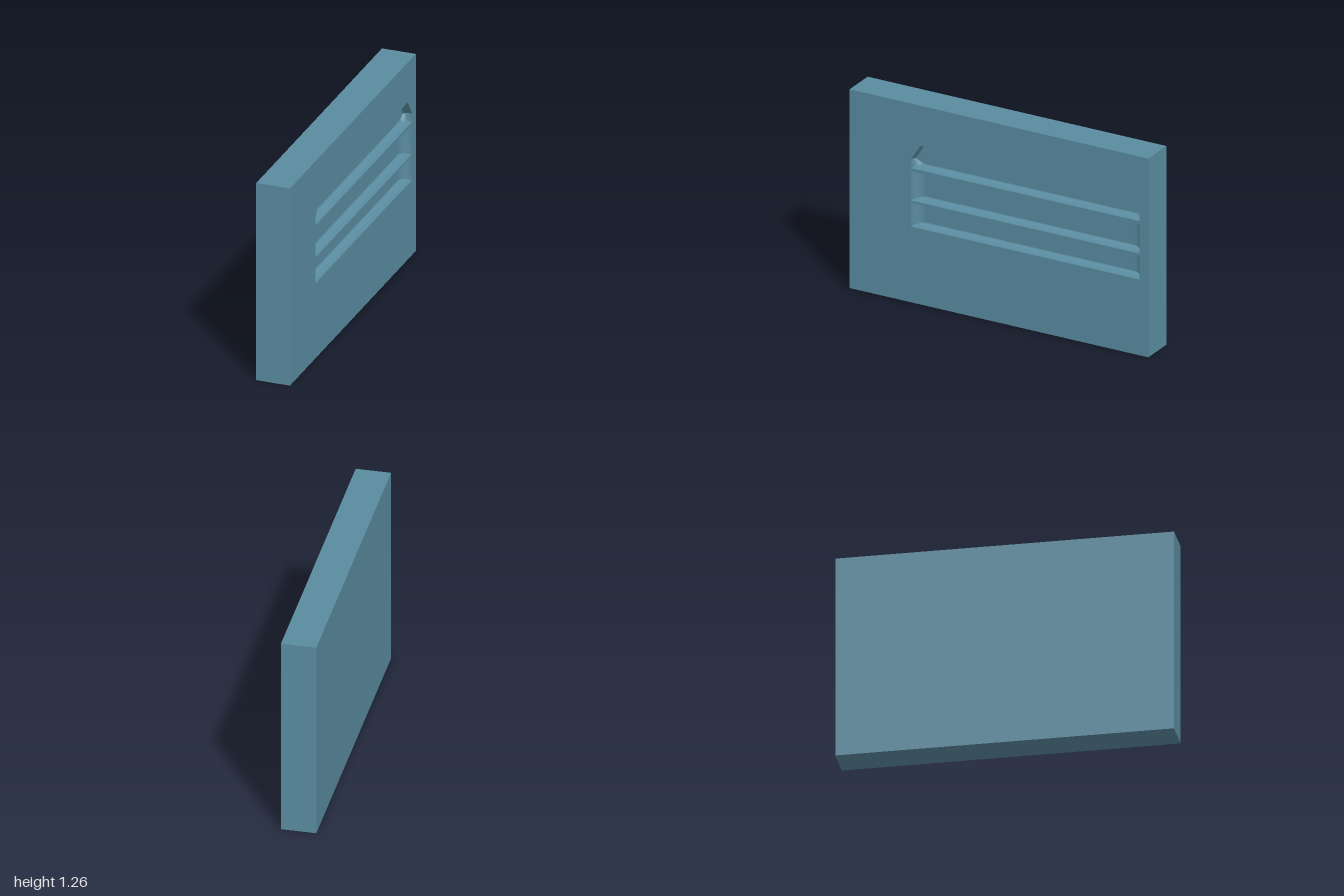
import * as THREE from 'three';
import { mergeGeometries } from 'three/addons/utils/BufferGeometryUtils.js';

const W = 2, H = 1.26, T = 0.21, DEPTH = 0.06;
const material = new THREE.MeshStandardMaterial({ color: 0x5a8ca0 });

// Outline corners, counter-clockwise: [across, up, floor inset across, floor inset up]
const L = -0.59, R = 0.94, IN = 0.06, LIP = 0.018;
const slot = (y0, y1) => [
  [L, y0, IN, LIP], [R, y0, -IN, LIP], [R, y1, -IN, -LIP], [L, y1, IN, -LIP],
];
const recesses = {
  lowerRecess: slot(0.48, 0.63),
  middleRecess: slot(0.645, 0.83),
  upperRecess: [
    [L, 0.85, IN, LIP], [R, 0.85, -IN, LIP], [R, 0.905, 0, -LIP],
    [0.875, 1.005, 0, -LIP], [-0.525, 1.005, 0, -LIP], [L, 0.905, 0, -LIP],
  ],
};

// Corner position on the rounded wall: t = 0 at the rim, t = 1 at the floor
function wallPoint([u, y, du, dy], t) {
  const a = t * Math.PI / 2, f = 1 - Math.cos(a);
  return new THREE.Vector3(u + du * f, y + dy * f, T / 2 - DEPTH * Math.sin(a));
}

// One curved wall between two neighbouring corners
function wall(p, q) {
  const g = new THREE.PlaneGeometry(1, 1, 1, 8);
  const pos = g.attributes.position, uv = g.attributes.uv;
  for (let i = 0; i < pos.count; i++) {
    const v = wallPoint(p, uv.getY(i)).lerp(wallPoint(q, uv.getY(i)), uv.getX(i));
    pos.setXYZ(i, v.x, v.y, v.z);
  }
  g.computeVertexNormals();
  return g;
}

// All walls of a recess plus its flat floor
function recess(outline) {
  const walls = outline.map((p, i) => wall(p, outline[(i + 1) % outline.length]));
  const floor = new THREE.ShapeGeometry(new THREE.Shape(outline.map((p) => {
    const v = wallPoint(p, 1);
    return new THREE.Vector2(v.x, v.y);
  })));
  floor.translate(0, 0, T / 2 - DEPTH);
  return mergeGeometries([...walls, floor]);
}

export function createModel() {
  const group = new THREE.Group();
  group.name = 'recessedPanel';
  const add = (name, geometry) => {
    const mesh = new THREE.Mesh(geometry, material);
    mesh.name = name;
    group.add(mesh);
  };

  // Slab without its recessed face (the +z side before turning)
  const slab = new THREE.BoxGeometry(W, H, T).translate(0, H / 2, 0);
  const index = Array.from(slab.index.array);
  index.splice(24, 6);
  slab.setIndex(index);
  slab.clearGroups();
  add('slab', slab);

  // Recessed face with openings
  const face = new THREE.Shape([[-1, 0], [1, 0], [1, H], [-1, H]].map(([x, y]) => new THREE.Vector2(x, y)));
  for (const outline of Object.values(recesses)) {
    face.holes.push(new THREE.Path(outline.map(([x, y]) => new THREE.Vector2(x, y))));
  }
  add('openFace', new THREE.ShapeGeometry(face).translate(0, 0, T / 2));

  // Recess interiors
  for (const [name, outline] of Object.entries(recesses)) add(name, recess(outline));

  // Turn the recessed face towards +x
  group.rotation.y = Math.PI / 2;
  const model = new THREE.Group();
  model.name = 'panel';
  model.add(group);
  return model;
}
